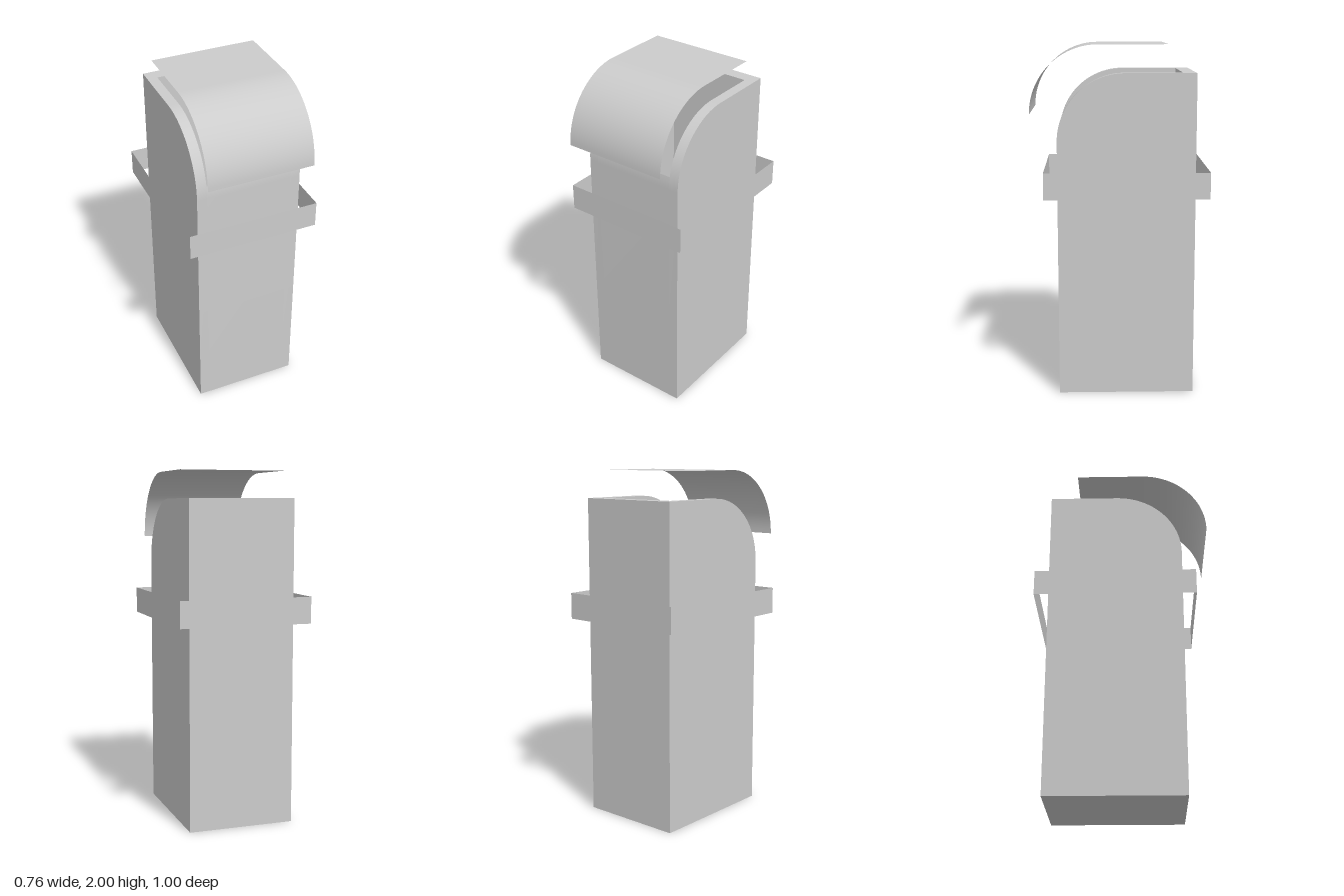
import * as THREE from 'three';
import { toCreasedNormals } from 'three/addons/utils/BufferGeometryUtils.js';

const HALF_W = 0.305, INNER_W = 0.247;
const FRONT = 0.35, BACK = -0.425, TOP = 1.845, R = 0.38;
const SLOT_Y = 1.54, FLOOR_Y = 0.06, INNER_BACK = -0.35;

const solid = new THREE.MeshStandardMaterial({ color: 0xcccccc });
const thin = new THREE.MeshStandardMaterial({ color: 0xcccccc, side: THREE.DoubleSide });

// Points (z, y) on the rounded front shoulder, from angle a0 up to the flat top
function shoulder(a0, steps = 24) {
  const pts = [];
  for (let i = 0; i <= steps; i++) {
    const a = a0 + (Math.PI / 2 - a0) * i / steps;
    pts.push(new THREE.Vector2(FRONT - R + R * Math.cos(a), TOP - R + R * Math.sin(a)));
  }
  return pts;
}

// Side profile (z, y) extruded along x, starting at x0
function slab(points, x0, width) {
  const geo = new THREE.ExtrudeGeometry(new THREE.Shape(points), { depth: width, bevelEnabled: false });
  geo.rotateY(-Math.PI / 2).translate(x0 + width, 0, 0);
  return toCreasedNormals(geo, 0.5);
}

// Zero-thickness sheet: each point yields a pair of vertices, joined into quads
function sheet(points, pair) {
  const pos = [], index = [];
  points.forEach((p, i) => {
    pos.push(...pair(p, 0), ...pair(p, 1));
    if (i) index.push(2 * i - 2, 2 * i - 1, 2 * i, 2 * i, 2 * i - 1, 2 * i + 1);
  });
  const geo = new THREE.BufferGeometry();
  geo.setAttribute('position', new THREE.Float32BufferAttribute(pos, 3));
  geo.setIndex(index);
  return toCreasedNormals(geo, 0.5);
}

export function createModel() {
  const model = new THREE.Group();
  const add = (name, geo, mat, parent = model) => {
    const mesh = new THREE.Mesh(geo, mat);
    mesh.name = name;
    parent.add(mesh);
  };
  const v = (x, y) => new THREE.Vector2(x, y);

  // Hollow body: two side walls with a rounded front shoulder
  const body = new THREE.Group();
  body.name = 'body';
  model.add(body);
  const side = [v(BACK, 0), v(FRONT, 0), ...shoulder(0), v(BACK, TOP)];
  add('leftWall', slab(side, INNER_W, HALF_W - INNER_W), solid, body);
  add('rightWall', slab(side, -HALF_W, HALF_W - INNER_W), solid, body);

  // Front wall, floor and back wall in one U-shaped section
  const slotAngle = Math.asin((SLOT_Y - TOP + R) / R);
  const lip = shoulder(0).filter(p => p.y < SLOT_Y - 0.005);
  const lipEnd = shoulder(slotAngle)[0];
  add('frontFloorAndBack', slab([
    v(BACK, 0), v(FRONT, 0), ...lip, lipEnd,
    v(lipEnd.x - 0.001, FLOOR_Y), v(INNER_BACK, FLOOR_Y), v(INNER_BACK, TOP), v(BACK, TOP),
  ], -INNER_W, 2 * INNER_W), solid, body);

  // Curved lid floating up and forward of the opening
  const lid = [...shoulder(0), v(-0.42, TOP)];
  add('lid', sheet(lid, (p, s) => [s ? HALF_W : -HALF_W, p.y + 0.155, p.x + 0.15]), thin);

  // Open band around the body
  const bx = 0.38, bf = 0.425, bb = -0.5;
  const ring = [v(-bx, bf), v(bx, bf), v(bx, bb), v(-bx, bb), v(-bx, bf)];
  add('band', sheet(ring, (p, s) => [p.x, s ? 1.155 : 1.305, p.y]), thin);

  return model;
}
